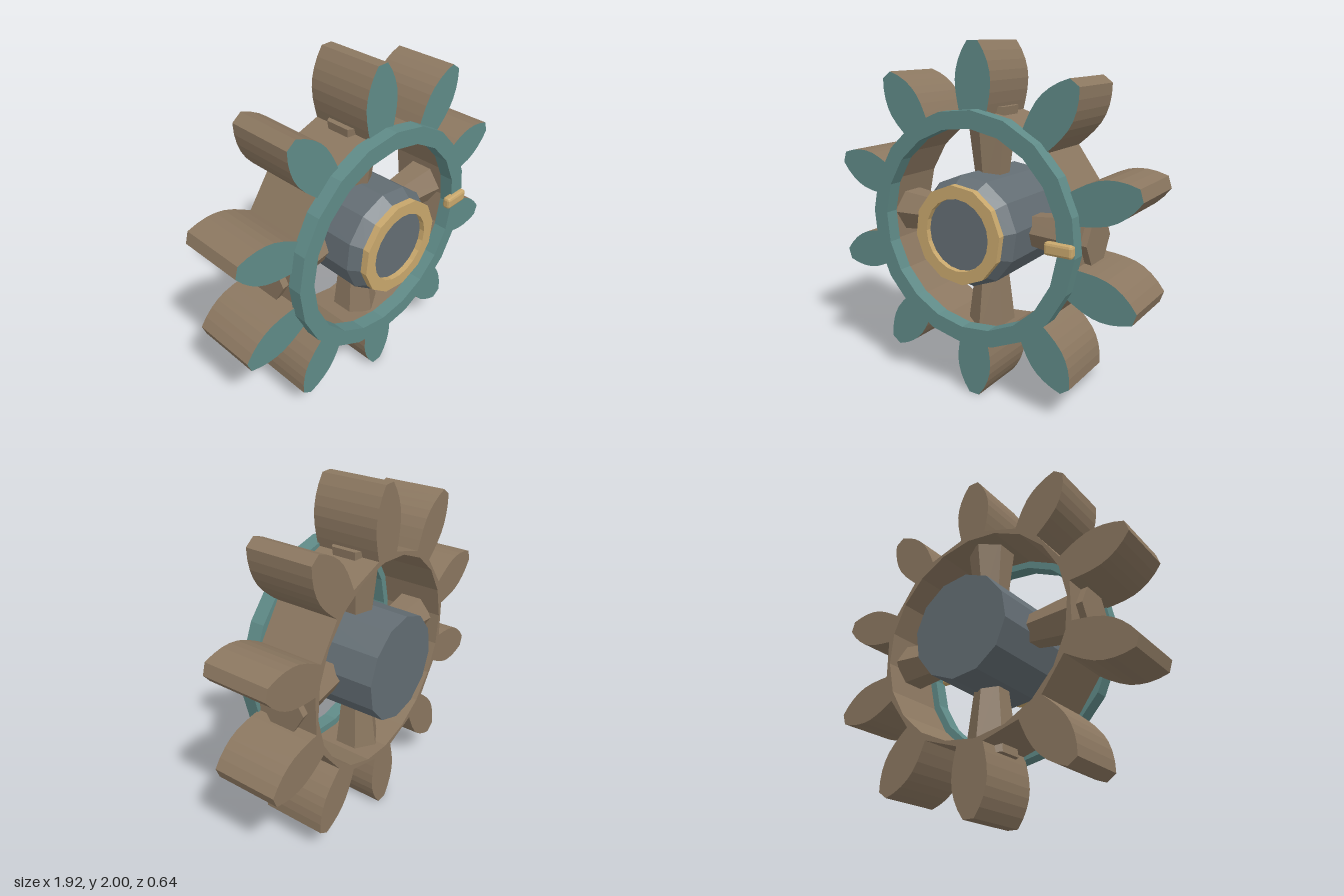
import * as THREE from 'three';
import { RoundedBoxGeometry } from 'three/addons/geometries/RoundedBoxGeometry.js';

const rad = THREE.MathUtils.degToRad;
const BACK = -0.215, FRONT = 0.165, PLATE = 0.006;

const brown = new THREE.MeshStandardMaterial({ color: 0x8b7760 });
brown.name = 'brown wood';
const teal = new THREE.MeshStandardMaterial({ color: 0x5f8a87 });
teal.name = 'teal paint';
const grey = new THREE.MeshStandardMaterial({ color: 0x636d73 });
grey.name = 'blue grey metal';
const gold = new THREE.MeshStandardMaterial({ color: 0xc8a76c });
gold.name = 'pale gold';

// Faceted copy: one normal per face
function faceted(geo) {
  const g = geo.index ? geo.toNonIndexed() : geo;
  g.computeVertexNormals();
  return g;
}

// Regular polygon points, first corner at startDeg
function polygon(radius, sides, startDeg) {
  return Array.from({ length: sides }, (_, i) => {
    const a = rad(startDeg) + (i / sides) * Math.PI * 2;
    return new THREE.Vector2(Math.cos(a) * radius, Math.sin(a) * radius);
  });
}

// Flat shape, with an optional polygon hole, extruded between two depths
function slab(points, hole, z0, z1) {
  const shape = new THREE.Shape(points);
  if (hole) shape.holes.push(new THREE.Path(hole));
  const g = new THREE.ExtrudeGeometry(shape, { depth: z1 - z0, bevelEnabled: false });
  return g.translate(0, 0, z0);
}

// Faceted drum along z
function drum(backRadius, frontRadius, z0, z1) {
  const g = new THREE.CylinderGeometry(frontRadius, backRadius, z1 - z0, 12);
  g.rotateX(Math.PI / 2).rotateZ(rad(7)).translate(0, 0, (z0 + z1) / 2);
  return faceted(g);
}

// Wheel outline: ten leaf-shaped teeth joined by straight root chords
function gearOutline() {
  const side = [ // [distance from centre, half width]
    [0.625, 0.084], [0.68, 0.097], [0.74, 0.108], [0.8, 0.112],
    [0.85, 0.106], [0.9, 0.091], [0.95, 0.067], [1.0, 0.033],
  ];
  const tooth = [
    ...side.map(([r, w]) => [r, -w]),
    ...side.slice().reverse(),
  ];
  const points = [];
  for (let i = 0; i < 10; i++) {
    const a = rad(90 + i * 36), c = Math.cos(a), s = Math.sin(a);
    for (const [r, w] of tooth) points.push(new THREE.Vector2(r * c - w * s, r * s + w * c));
  }
  return points;
}

export function createModel() {
  const group = new THREE.Group();
  group.name = 'gearWheel';
  const wheel = new THREE.Group();
  wheel.name = 'wheel';
  wheel.position.y = 1;
  group.add(wheel);

  function add(name, geometry, material) {
    const mesh = new THREE.Mesh(geometry, material);
    mesh.name = name;
    wheel.add(mesh);
    return mesh;
  }

  // Toothed rim and its painted front
  const outline = gearOutline();
  const bore = polygon(0.603, 20, 87);
  add('toothedRim', slab(outline, bore, BACK, FRONT - PLATE), brown);
  add('rimFrontPaint', slab(outline, bore, FRONT - PLATE, FRONT), [teal, brown]);

  // Raised front ring
  add('frontRing', slab(polygon(0.656, 20, 87), polygon(0.56, 20, 87), FRONT - 0.01, 0.238), teal);

  // Four hexagonal spokes, widening outwards and poking through the rim
  const spokeGeo = faceted(
    new THREE.CylinderGeometry(0.143, 0.088, 0.44, 6).translate(0, 0.44, -0.025));
  for (let i = 0; i < 4; i++) {
    add('spoke' + (i + 1), spokeGeo, brown).rotation.z = i * Math.PI / 2;
  }

  // Hub barrel with tapered nose
  add('hubBarrel', drum(0.302, 0.31, -0.32, 0.215), grey);
  add('hubNose', drum(0.31, 0.262, 0.215, 0.288), grey);

  // Gold collar around the nose
  add('hubCollar', slab(polygon(0.273, 12, 7), polygon(0.2, 20, 0), 0.28, 0.32), gold);

  // Small marker peg on the ring
  const peg = new RoundedBoxGeometry(0.16, 0.07, 0.05, 1, 0.015);
  add('markerPeg', faceted(peg), gold).position.set(0.573, 0.003, 0.243);

  return group;
}
